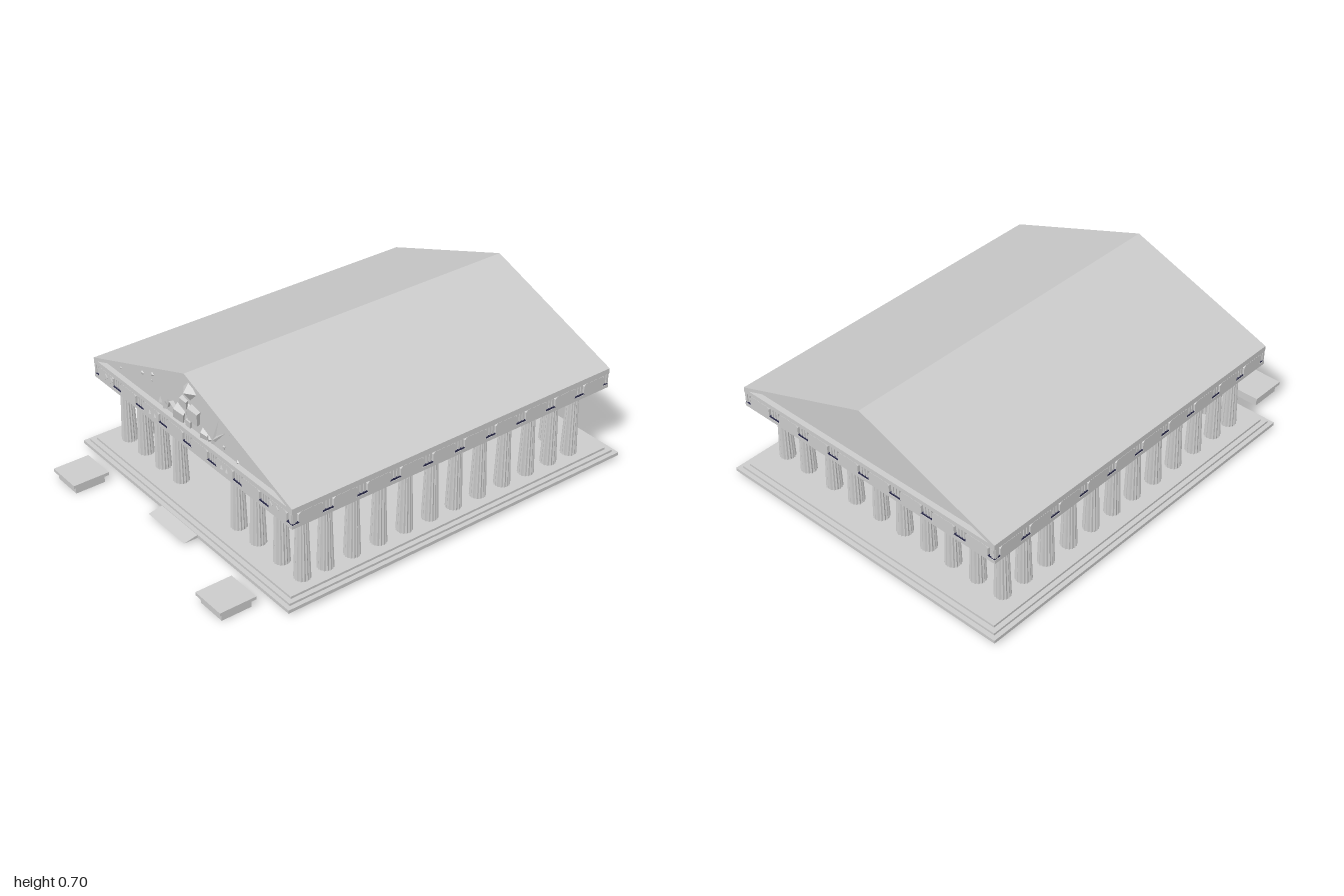
import * as THREE from 'three';

const CZ = -0.115, HX = 0.70, HZ = 0.83; // temple centre in z and half sizes of the roof

export function createModel() {
  const root = new THREE.Group();
  const stone = new THREE.MeshStandardMaterial({ color: 0xcccccc, flatShading: true });
  stone.name = 'stone';
  const navy = new THREE.MeshStandardMaterial({ color: 0x2a2a4a });
  navy.name = 'dark blue';

  const add = (name, geo, x, y, z, mat = stone, parent = root) => {
    const m = new THREE.Mesh(geo, mat);
    m.name = name;
    m.position.set(x, y, z);
    parent.add(m);
    return m;
  };
  // Box centred on the temple, given half sizes and its bottom and top
  const slab = (name, hx, hz, y0, y1, mat) =>
    add(name, new THREE.BoxGeometry(hx * 2, y1 - y0, hz * 2), 0, (y0 + y1) / 2, CZ, mat);

  // Stepped platform
  slab('lowerStep', 0.745, 0.885, 0.015, 0.03);
  slab('middleStep', 0.725, 0.865, 0.03, 0.04);
  slab('upperStep', 0.703, 0.843, 0.04, 0.05);

  // Entrance ramp, a thin wedge
  const wedge = new THREE.Shape([[0.77, 0.014], [0.835, 0.014], [0.77, 0.028]].map(p => new THREE.Vector2(...p)));
  const ramp = add('ramp', new THREE.ExtrudeGeometry(wedge, { depth: 0.26, bevelEnabled: false }), 0.13, 0, 0);
  ramp.rotation.y = -Math.PI / 2;

  // Free-standing pedestals
  for (const x of [-0.525, 0.538]) {
    add('pedestalBase', new THREE.BoxGeometry(0.14, 0.036, 0.14), x, 0.018, 0.915);
    add('pedestalCap', new THREE.BoxGeometry(0.165, 0.014, 0.17), x, 0.043, 0.915);
  }

  // Fluted column with a flared capital
  const shaft = new THREE.CylinderGeometry(0.026, 0.036, 0.295, 32, 3, true);
  const p = shaft.attributes.position;
  for (let i = 0; i < p.count; i++) {
    const step = Math.round(Math.atan2(p.getX(i), p.getZ(i)) / (Math.PI / 16));
    if (step % 2 !== 0) {
      p.setX(i, p.getX(i) * 0.89);
      p.setZ(i, p.getZ(i) * 0.89);
    }
  }
  const echinus = new THREE.CylinderGeometry(0.034, 0.026, 0.009, 16);
  const abacus = new THREE.CylinderGeometry(0.034, 0.034, 0.008, 16);
  const column = (x, z) => {
    const g = new THREE.Group();
    g.name = 'column';
    g.position.set(x, 0, z);
    add('shaft', shaft, 0, 0.1975, 0, stone, g);
    add('echinus', echinus, 0, 0.3485, 0, stone, g);
    add('abacus', abacus, 0, 0.357, 0, stone, g);
    root.add(g);
  };
  const xs = [-0.61, -0.48, -0.345, -0.21, -0.075, 0.06, 0.207, 0.34, 0.497, 0.63];
  const zs = [0.618, 0.505, 0.372, 0.238, 0.104, -0.03, -0.158, -0.29, -0.425, -0.56, -0.69, -0.81];
  xs.forEach((x, i) => {
    column(x, zs[11]);
    if (i !== 4 && i !== 5) column(x, zs[0]); // entrance gap
  });
  for (const z of zs.slice(1, 11)) {
    column(xs[0], z);
    column(xs[9], z);
  }

  // Entablature
  slab('architrave', HX, HZ, 0.358, 0.374);
  slab('blueBand', HX - 0.002, HZ - 0.002, 0.374, 0.381, navy);
  slab('friezeCore', HX - 0.014, HZ - 0.014, 0.381, 0.424);
  slab('cornice', HX, HZ, 0.424, 0.442);

  // Metope plate with cut corners
  const w = 0.057, h = 0.027, c = 0.01;
  const plate = new THREE.Shape([[-w + c, -h], [w - c, -h], [w, -h + c], [w, h - c], [w - c, h],
    [-w + c, h], [-w, h - c], [-w, -h + c]].map(q => new THREE.Vector2(...q)));
  const metope = new THREE.ExtrudeGeometry(plate, { depth: 0.016, bevelEnabled: false });
  const bar = new THREE.BoxGeometry(0.011, 0.043, 0.012);

  // Frieze along each of the four sides
  const frieze = (angle, half, dist, n) => {
    const g = new THREE.Group();
    g.name = 'frieze';
    g.position.z = CZ;
    g.rotation.y = angle;
    const pitch = (half * 2 - 0.01) / n;
    for (let i = 0; i <= n; i++) {
      const x = (i - n / 2) * pitch;
      if (i < n) add('metope', metope, x + pitch / 2, 0.397, dist - 0.015, stone, g);
      for (const k of [-1, 0, 1]) {
        if (Math.abs(x + k * 0.016) < half - 0.004)
          add('triglyphBar', bar, x + k * 0.016, 0.4025, dist - 0.01, stone, g);
      }
    }
    root.add(g);
  };
  frieze(0, HX, HZ, 8);
  frieze(Math.PI, HX, HZ, 8);
  frieze(Math.PI / 2, HZ, HX, 10);
  frieze(-Math.PI / 2, HZ, HX, 10);

  // Small reliefs on the front metopes
  const front = CZ + HZ;
  const strip = new THREE.BoxGeometry(0.018, 0.004, 0.006);
  for (const x of [-0.6, -0.56, 0.57, 0.61]) {
    for (const s of [-1, 1]) {
      add('chevron', strip, x, 0.402 + s * 0.006, front + 0.002).rotation.z = -s * 0.75;
    }
  }
  for (const x of [-0.27, -0.232, 0.24, 0.275]) {
    add('metopePyramid', new THREE.ConeGeometry(0.013, 0.024, 4), x, 0.4, front).scale.z = 0.5;
  }

  // Gable roof: solid core with raised frames at both ends
  const tri = (hx, y0, y1, Type) =>
    new Type([[-hx, y0], [hx, y0], [0, y1]].map(q => new THREE.Vector2(...q)));
  const gable = () => {
    const s = new THREE.Shape([[-HX, 0.442], [HX, 0.442], [HX, 0.45], [0, 0.705], [-HX, 0.45]]
      .map(q => new THREE.Vector2(...q)));
    return s;
  };
  const inset = 0.025;
  add('roof', new THREE.ExtrudeGeometry(gable(), { depth: HZ * 2 - inset * 2, bevelEnabled: false }),
    0, 0, CZ - HZ + inset);
  const frame = gable();
  frame.holes.push(tri(0.67, 0.444, 0.688, THREE.Path));
  const frameGeo = new THREE.ExtrudeGeometry(frame, { depth: inset, bevelEnabled: false });
  add('frontPedimentFrame', frameGeo, 0, 0, CZ + HZ - inset);
  add('backPedimentFrame', frameGeo, 0, 0, CZ - HZ);

  // Broken sculpture fragments in the front pediment
  const relief = new THREE.Group();
  relief.name = 'pedimentSculpture';
  relief.position.z = front - inset;
  relief.scale.z = 0.7;
  root.add(relief);
  add('diamond', new THREE.OctahedronGeometry(0.045), 0, 0.617, 0, stone, relief);
  const blocks = [[-0.04, 0.547, 0.04, 0.2], [0.035, 0.525, 0.06, 0.15], [0, 0.525, 0.035, 0.6],
    [-0.075, 0.48, 0.055, 0.35], [-0.012, 0.462, 0.03, 0.1], [0.095, 0.462, 0.036, 0.4],
    [0.128, 0.458, 0.018, 0.9], [0.28, 0.556, 0.012, 0.5], [0.368, 0.528, 0.012, 0.3],
    [0.32, 0.448, 0.012, 0.7], [0.228, 0.47, 0.012, 0.2], [-0.348, 0.534, 0.013, 0.4],
    [-0.272, 0.563, 0.012, 0.8], [-0.28, 0.53, 0.007, 0.2], [-0.52, 0.475, 0.008, 0.5]];
  for (const [x, y, s, r] of blocks) {
    add('block', new THREE.BoxGeometry(s, s, s), x, y, 0, stone, relief).rotation.set(r, r * 0.8, -r);
  }
  for (const [x, y, len, r] of [[0.178, 0.52, 0.14, -0.35], [0.205, 0.51, 0.105, -0.85]]) {
    add('spike', new THREE.ConeGeometry(0.011, len, 4), x, y, 0.005, stone, relief).rotation.z = r;
  }
  for (const [x, y, r] of [[-0.155, 0.485, 0.3], [-0.222, 0.465, 1.1], [-0.18, 0.46, 2.2], [-0.125, 0.495, 1.7]]) {
    add('shard', new THREE.TetrahedronGeometry(0.026), x, y, 0, stone, relief).rotation.set(r, r, r);
  }
  return root;
}
